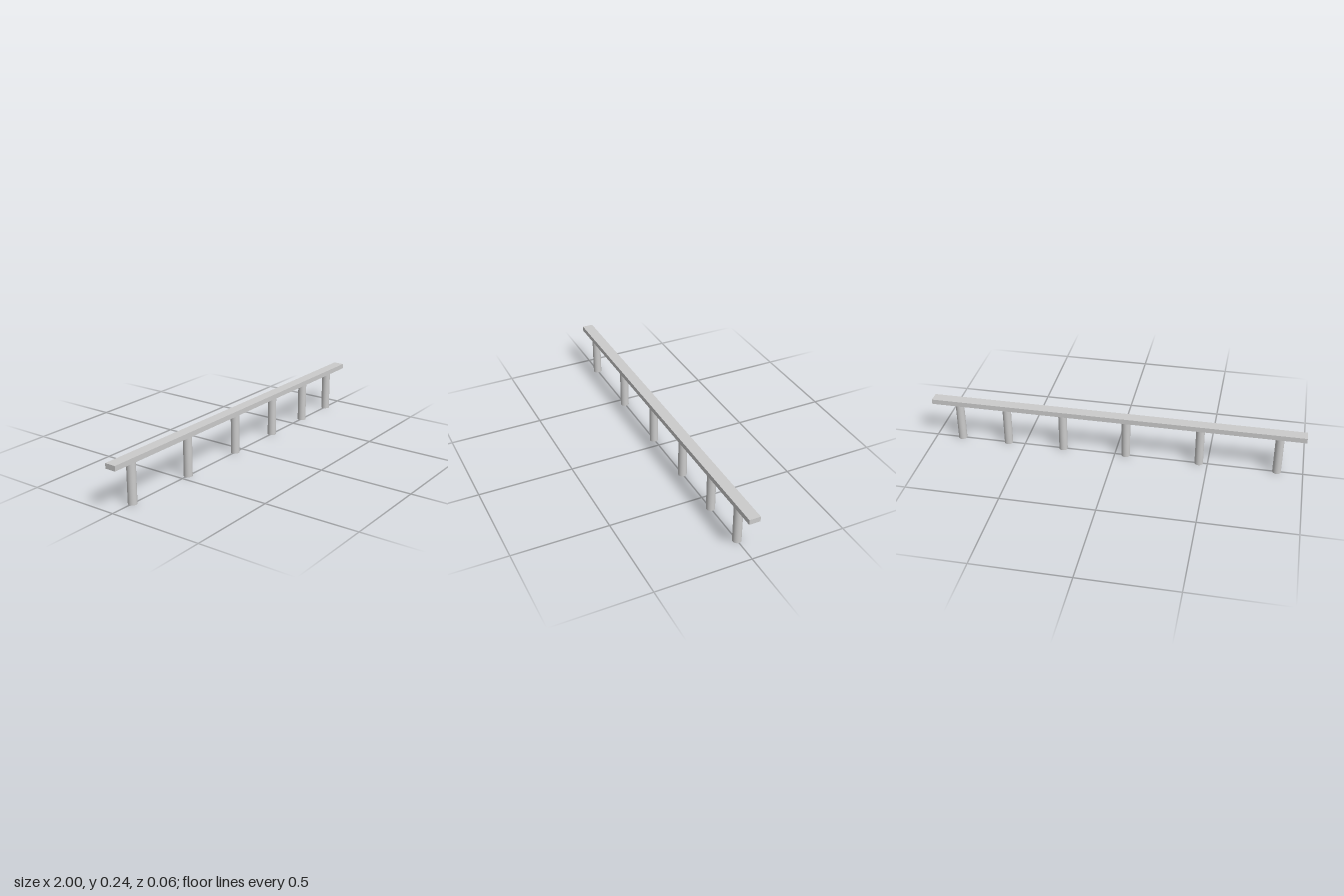
import * as THREE from 'three';

export function createModel() {
  const model = new THREE.Group();
  const material = new THREE.MeshStandardMaterial({ color: 0xcccccc });
  const beamBottom = 0.215, beamTop = 0.242;

  // Long flat beam
  const beam = new THREE.Mesh(new THREE.BoxGeometry(2, beamTop - beamBottom, 0.059), material);
  beam.name = 'beam';
  beam.position.y = (beamTop + beamBottom) / 2;
  model.add(beam);

  // Round posts, spaced closer together towards +x
  const posts = new THREE.Group();
  posts.name = 'posts';
  const postGeometry = new THREE.CylinderGeometry(0.0228, 0.0228, beamBottom, 32);
  [-0.864, -0.454, -0.06, 0.284, 0.592, 0.855].forEach((x, i) => {
    const post = new THREE.Mesh(postGeometry, material);
    post.name = `post${i + 1}`;
    post.position.set(x, beamBottom / 2, 0);
    posts.add(post);
  });
  model.add(posts);

  return model;
}
